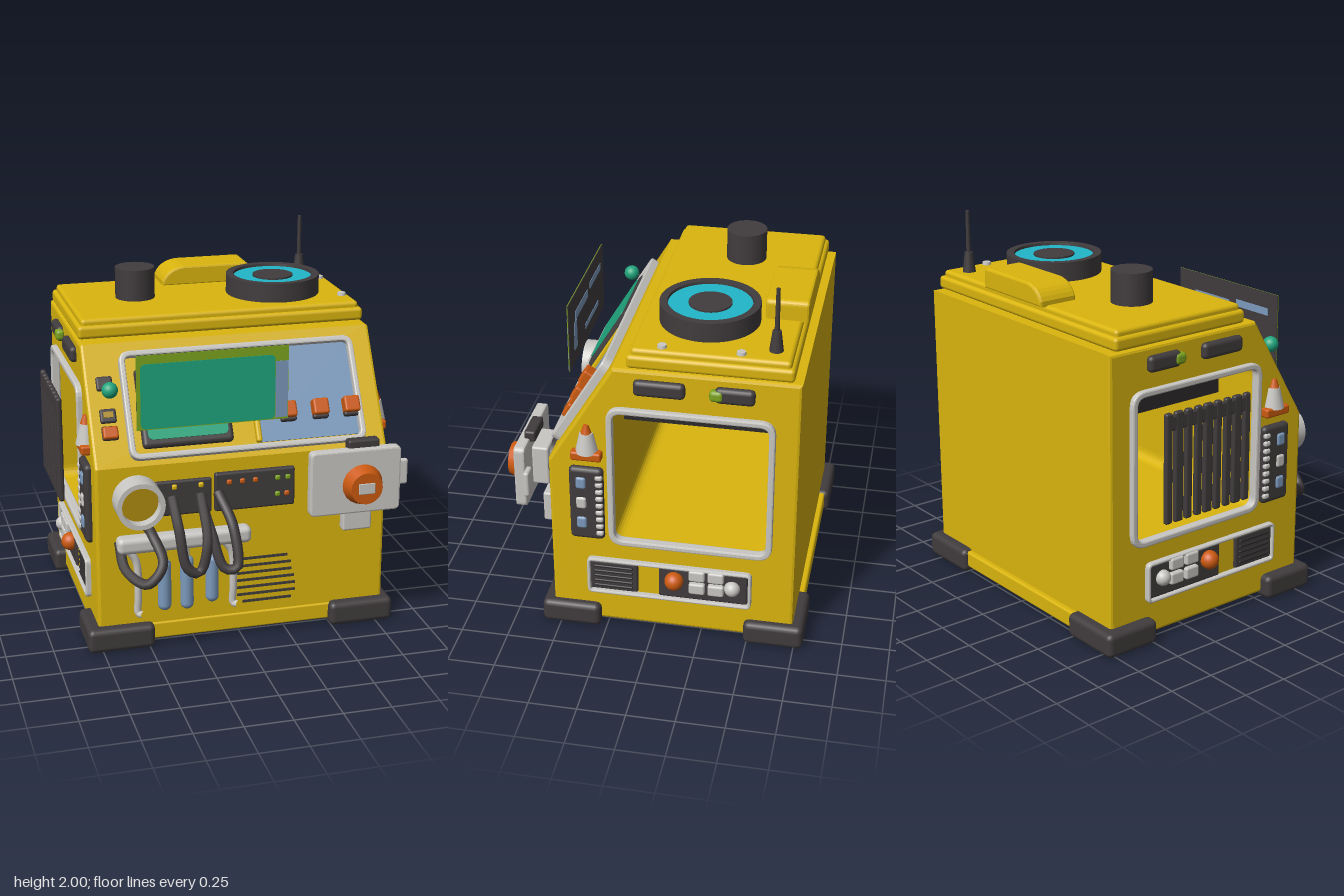
import * as THREE from 'three';
import { RoundedBoxGeometry } from 'three/addons/geometries/RoundedBoxGeometry.js';

const mat = (name, color) => {
  const m = new THREE.MeshStandardMaterial({ color });
  m.name = name;
  return m;
};

// Rounded rectangle outline centred on the given point
function roundRect(P, w, h, r, cx = 0, cy = 0) {
  const p = new P(), x = cx - w / 2, y = cy - h / 2;
  p.moveTo(x + r, y);
  p.lineTo(x + w - r, y); p.quadraticCurveTo(x + w, y, x + w, y + r);
  p.lineTo(x + w, y + h - r); p.quadraticCurveTo(x + w, y + h, x + w - r, y + h);
  p.lineTo(x + r, y + h); p.quadraticCurveTo(x, y + h, x, y + h - r);
  p.lineTo(x, y + r); p.quadraticCurveTo(x, y, x + r, y);
  return p;
}

// Extrusion centred on its depth
function extrude(shape, depth, bevel = 0) {
  const g = new THREE.ExtrudeGeometry(shape, {
    depth: depth - 2 * bevel, bevelEnabled: bevel > 0, bevelSize: bevel,
    bevelThickness: bevel, bevelOffset: -bevel, bevelSegments: 2, curveSegments: 6,
  });
  return g.translate(0, 0, -depth / 2 + bevel);
}

function frameGeo(w, h, r, t, depth) {
  const s = roundRect(THREE.Shape, w, h, r);
  s.holes.push(roundRect(THREE.Path, w - 2 * t, h - 2 * t, Math.max(r - t, 0.01)));
  return extrude(s, depth, 0.008);
}

const box = (w, h, d, r = 0.012) => new RoundedBoxGeometry(w, h, d, 2, Math.min(r, w / 2.1, h / 2.1, d / 2.1));
const plate = (w, h, d) => new THREE.BoxGeometry(w, h, d);
const cyl = (r0, r1, h, n = 32) => new THREE.CylinderGeometry(r0, r1, h, n);
const ball = (r) => new THREE.SphereGeometry(r, 20, 14);
const tube = (pts, r) => new THREE.TubeGeometry(
  new THREE.CatmullRomCurve3(pts.map((p) => new THREE.Vector3(...p))), 32, r, 8);

export function createModel() {
  const yellow = mat('yellow paint', 0xdab50e), dark = mat('dark rubber', 0x413c3d);
  const grey = mat('light grey', 0xc9c7c3), orange = mat('orange', 0xcc5a10);
  const blue = mat('slate blue', 0x7c9abd), green = mat('screen green', 0x1fa57c);
  const cyan = mat('cyan', 0x20b6c9), olive = mat('lime', 0x7da41f);
  const amber = mat('amber lens', 0xb08d10), black = mat('black', 0x2c2a2b);
  const root = new THREE.Group();
  const group = (name, x = 0, y = 0, z = 0) => {
    const g = new THREE.Group();
    g.name = name; g.position.set(x, y, z); root.add(g);
    return g;
  };
  const add = (name, geo, m, x = 0, y = 0, z = 0, parent = root) => {
    const o = new THREE.Mesh(geo, m);
    o.name = name; o.position.set(x, y, z); parent.add(o);
    return o;
  };
  const CX = 0.015;

  // Cabin shell with a tunnel-like side window
  const side = new THREE.Shape();
  [[0.54, 0.03], [0.54, 1.0], [0.2, 1.56], [-0.74, 1.56], [-0.74, 0.03]]
    .forEach(([z, y], i) => (i ? side.lineTo(z, y) : side.moveTo(z, y)));
  side.closePath();
  side.holes.push(roundRect(THREE.Path, 0.8, 0.77, 0.06, -0.195, 0.94));
  add('cabinShell', extrude(side, 1.56, 0.015), yellow, CX).rotation.y = -Math.PI / 2;
  add('sillFront', box(1.57, 0.09, 0.02), yellow, CX, 0.075, 0.54);
  add('sillBack', box(1.57, 0.09, 0.04), yellow, CX, 0.075, -0.75);
  add('cabinCeiling', plate(1.0, 0.23, 0.81), black, CX, 1.225, -0.195);

  // Corner bumpers
  for (const x of [-0.65, 0.665]) for (const z of [0.44, -0.64])
    add('cornerBumper', box(0.355, 0.13, 0.315, 0.03), dark, x, 0.065, z);

  // Roof
  add('roofBrim', box(1.55, 0.07, 0.83, 0.02), yellow, CX, 1.6, -0.285);
  add('roofTop', box(1.51, 0.06, 0.79, 0.02), yellow, CX, 1.637, -0.285);
  add('chimney', cyl(0.107, 0.107, 0.18), dark, -0.37, 1.745, -0.29);
  const hump = new THREE.Shape();
  hump.moveTo(-0.25, 0); hump.lineTo(-0.25, 0.03); hump.quadraticCurveTo(-0.22, 0.1, -0.13, 0.11);
  hump.lineTo(0.22, 0.11); hump.quadraticCurveTo(0.25, 0.11, 0.25, 0.08); hump.lineTo(0.25, 0);
  add('roofHump', extrude(hump, 0.22, 0.012), yellow, 0.08, 1.66, -0.6);
  const dish = group('roofFan', 0.385, 1.66, -0.22);
  const rim = [[0, 0], [0.255, 0], [0.255, 0.11], [0.215, 0.11], [0.212, 0.088], [0, 0.088]]
    .flatMap(([x, y]) => [new THREE.Vector2(x, y), new THREE.Vector2(x, y)]);
  add('fanHousing', new THREE.LatheGeometry(rim, 48), dark, 0, 0, 0, dish);
  add('fanDisc', cyl(0.213, 0.213, 0.008, 48), cyan, 0, 0.092, 0, dish);
  add('fanHub', cyl(0.11, 0.11, 0.02), dark, 0, 0.095, 0, dish);
  add('antennaBase', cyl(0.022, 0.036, 0.11, 16), dark, 0.655, 1.72, -0.59);
  add('antennaRod', cyl(0.01, 0.013, 0.26, 10), dark, 0.655, 1.87, -0.59);
  for (const z of [-0.43, -0.04]) add('roofBolt', cyl(0.022, 0.025, 0.02, 16), grey, 0.725, 1.673, z);

  // Sloping dashboard; local z points out of the slope
  const dash = group('dashboard', 0, 1.28, 0.37);
  dash.rotation.x = -Math.atan2(0.34, 0.56);
  add('windshieldFrame', frameGeo(1.26, 0.57, 0.06, 0.03, 0.06), grey, 0.05, -0.015, 0.015, dash);
  add('windshield', plate(0.56, 0.5, 0.008), blue, 0.385, -0.01, 0.006, dash);
  add('divider', box(0.03, 0.5, 0.04), yellow, 0.105, -0.01, 0.012, dash);
  add('screenHousing', box(0.48, 0.42, 0.05, 0.03), dark, -0.27, -0.035, 0.02, dash);
  add('screen', extrude(roundRect(THREE.Shape, 0.42, 0.35, 0.03), 0.008), green, -0.27, -0.03, 0.048, dash);
  for (const x of [0.275, 0.45, 0.62]) {
    add('buttonBase', box(0.085, 0.03, 0.04), dark, x, -0.15, 0.02, dash);
    add('orangeButton', box(0.085, 0.085, 0.07), orange, x, -0.105, 0.03, dash);
  }
  for (const y of [0.115, -0.055, -0.145]) add('switchPlate', box(0.085, 0.075, 0.025), dark, -0.665, y, 0.005, dash);
  add('leverKnob', ball(0.042), green, -0.655, 0.06, 0.085, dash);
  add('leverStalk', cyl(0.01, 0.01, 0.08, 8), dark, -0.655, 0.07, 0.04, dash).rotation.x = Math.PI / 2;
  add('switchCap', plate(0.05, 0.03, 0.008), amber, -0.665, -0.05, 0.018, dash);
  add('orangeSwitch', box(0.08, 0.065, 0.04), orange, -0.665, -0.145, 0.015, dash);

  // Floating display in front of the windshield
  const holo = group('floatingDisplay', -0.155, 1.395, 0.56);
  add('displayBack', plate(0.79, 0.39, 0.004), dark, 0, 0, -0.003, holo);
  add('displayBorder', plate(0.79, 0.39, 0.004), olive, 0, 0, 0.001, holo);
  add('displayImage', extrude(roundRect(THREE.Shape, 0.7, 0.34, 0.03), 0.004), green, -0.025, -0.02, 0.004, holo);
  add('displayStrip', plate(0.065, 0.3, 0.004), blue, 0.36, -0.035, 0.003, holo);
  for (const [x, y, w, h] of [[-0.2, 0.09, 0.25, 0.04], [0.12, 0.07, 0.28, 0.05], [0.26, -0.04, 0.06, 0.16], [-0.1, -0.1, 0.3, 0.03]])
    add('displayBackPatch', plate(w, h, 0.003), blue, x, y, -0.006, holo);

  // Round gauge
  const gaugeRim = [[0.125, 0], [0.125, 0.135], [0.1, 0.135], [0.1, 0.03]]
    .flatMap(([x, y]) => [new THREE.Vector2(x, y), new THREE.Vector2(x, y)]);
  add('gaugeRim', new THREE.LatheGeometry(gaugeRim, 36), grey, -0.555, 0.83, 0.535).rotation.x = Math.PI / 2;
  add('gaugeLens', cyl(0.102, 0.102, 0.02), amber, -0.555, 0.83, 0.6).rotation.x = Math.PI / 2;

  // Front control panel
  add('controlPanelLeft', box(0.3, 0.19, 0.03), dark, -0.31, 0.815, 0.545);
  add('controlPanelRight', box(0.43, 0.21, 0.04), dark, 0.07, 0.825, 0.545);
  [[-0.36, 0.88, yellow], [-0.22, 0.88, yellow], [-0.07, 0.88, orange], [0, 0.88, orange], [0.07, 0.88, orange],
    [0.19, 0.88, olive], [0.245, 0.88, olive], [0.19, 0.79, olive], [0.24, 0.79, orange]]
    .forEach(([x, y, m]) => add('panelLight', box(0.028, 0.028, 0.02), m, x, y, 0.565));

  // Tool rack with hooks and handles
  add('toolRail', box(0.71, 0.09, 0.09, 0.03), grey, -0.315, 0.595, 0.58);
  for (const x of [-0.57, -0.06])
    add('hook', tube([[x - 0.06, 0.58, 0.57], [x, 0.5, 0.57], [x + 0.01, 0.3, 0.575], [x + 0.01, 0.2, 0.575], [x + 0.03, 0.2, 0.6]], 0.02), grey);
  for (const [x, y, h] of [[-0.42, 0.35, 0.22], [-0.3, 0.35, 0.23], [-0.165, 0.36, 0.2]]) {
    add('toolHandle', new THREE.CapsuleGeometry(0.036, h, 6, 12), blue, x, y, 0.575);
    add('toolShaft', cyl(0.015, 0.015, 0.12, 10), grey, x, 0.52, 0.575);
  }

  // Hanging cable loops
  [[[-0.65, 0.6, 0.55], [-0.64, 0.49, 0.66], [-0.55, 0.45, 0.77], [-0.47, 0.55, 0.77], [-0.5, 0.67, 0.66], [-0.52, 0.7, 0.55]],
    [[-0.37, 0.82, 0.55], [-0.36, 0.68, 0.66], [-0.33, 0.49, 0.72], [-0.27, 0.46, 0.72], [-0.22, 0.6, 0.7], [-0.22, 0.83, 0.56]],
    [[-0.22, 0.8, 0.55], [-0.19, 0.65, 0.66], [-0.14, 0.48, 0.74], [-0.08, 0.48, 0.75], [-0.08, 0.68, 0.68], [-0.13, 0.83, 0.56]]]
    .forEach((p) => add('cableLoop', tube(p, 0.027), dark));

  // Front vent
  [0.28, 0.31, 0.31, 0.33, 0.33, 0.32, 0.27].forEach((w, i) =>
    add('ventSlot', plate(w, 0.014, 0.008), dark, 0.115 + i * 0.005, 0.43 - i * 0.041, 0.541));

  // Front lamp on a bracket
  const lamp = group('frontLamp', 0.6, 0.86, 0);
  add('lampMount', cyl(0.1, 0.11, 0.13), dark, -0.01, 0.03, 0.59, lamp).rotation.x = Math.PI / 2;
  add('lampPlate', extrude(roundRect(THREE.Shape, 0.49, 0.35, 0.03), 0.06, 0.01), grey, -0.035, 0.015, 0.69, lamp);
  add('lampTopClip', box(0.17, 0.06, 0.06), dark, 0.015, 0.2, 0.66, lamp);
  add('lampBracket', box(0.2, 0.22, 0.09), grey, 0, 0.03, 0.61, lamp);
  add('lampFoot', box(0.16, 0.17, 0.06), grey, 0.02, -0.22, 0.575, lamp);
  add('lampTab', box(0.08, 0.14, 0.03), grey, 0.235, 0.02, 0.64, lamp);
  add('lampBulb', cyl(0.085, 0.112, 0.08, 20), orange, 0, 0, 0.75, lamp).rotation.x = Math.PI / 2;
  add('lampGlint', box(0.09, 0.06, 0.01), grey, 0, 0, 0.788, lamp);

  // Fittings on both sides
  for (const s of [1, -1]) {
    const g = group(s > 0 ? 'leftFittings' : 'rightFittings', CX);
    const on = (name, geo, m, out, y, z) => add(name, geo, m, s * (0.78 + out), y, z, g);
    const turned = (geo) => geo.rotateY(Math.PI / 2);
    on('windowFrame', turned(frameGeo(0.85, 0.82, 0.08, 0.032, 0.05)), grey, 0.005, 0.94, -0.195);
    for (const z of [-0.04, -0.415]) on('markerLight', box(0.05, 0.085, z < -0.1 ? 0.2 : 0.26, 0.025), dark, 0.01, 1.475, z);
    on('markerLens', box(0.05, 0.06, 0.07, 0.02), olive, 0.018, 1.475, -0.325);
    // Button panel with a ribbed strip
    on('sidePanel', box(0.05, 0.43, 0.18, 0.03), dark, 0.01, 0.77, 0.34);
    [[0.9, blue], [0.78, grey], [0.66, blue]].forEach(([y, m]) =>
      on('sideButton', box(0.03, 0.07, 0.055, 0.02), m, 0.03, y, 0.365));
    for (let i = 0; i < 9; i++) on('sideRib', box(0.03, 0.03, 0.04), grey, 0.028, 0.6 + i * 0.042, 0.272);
    // Side beacon
    on('beaconBase', box(0.06, 0.05, 0.16), orange, 0.015, 1.06, 0.335);
    on('beaconBody', cyl(0.035, 0.06, 0.11, 16), grey, 0.0, 1.13, 0.335);
    on('beaconCap', cyl(0.012, 0.03, 0.05, 12), orange, 0.005, 1.205, 0.335);
    // Lower service panel
    on('serviceFrame', turned(frameGeo(0.87, 0.22, 0.03, 0.018, 0.05)), grey, 0.005, 0.32, -0.085);
    on('ventPanel', box(0.03, 0.18, 0.26), dark, 0, 0.32, 0.21);
    for (let i = 0; i < 5; i++) on('ventLouvre', box(0.02, 0.014, 0.21), black, 0.014, 0.26 + i * 0.03, 0.21);
    on('controlPlate', box(0.03, 0.185, 0.47), dark, 0, 0.32, -0.265);
    on('orangeKnob', ball(0.05), orange, 0.03, 0.345, -0.115);
    for (const z of [-0.235, -0.335]) for (const y of [0.31, 0.39])
      on('greySwitch', box(0.04, 0.065, 0.085), grey, 0.02, y, z);
    on('greyKnob', ball(0.042), grey, 0.02, 0.33, -0.42);
  }

  // Hanging slatted grille outside the right window
  const grille = group('slattedGrille', -0.862, 0.95, -0.2);
  for (let i = 0; i < 9; i++) add('slat', box(0.03, 0.58, i % 3 === 1 ? 0.055 : 0.043), dark, 0, 0, 0.255 - i * 0.064, grille);
  add('grilleRail', box(0.026, 0.08, 0.55), dark, 0, 0.235, 0, grille);
  return root;
}
